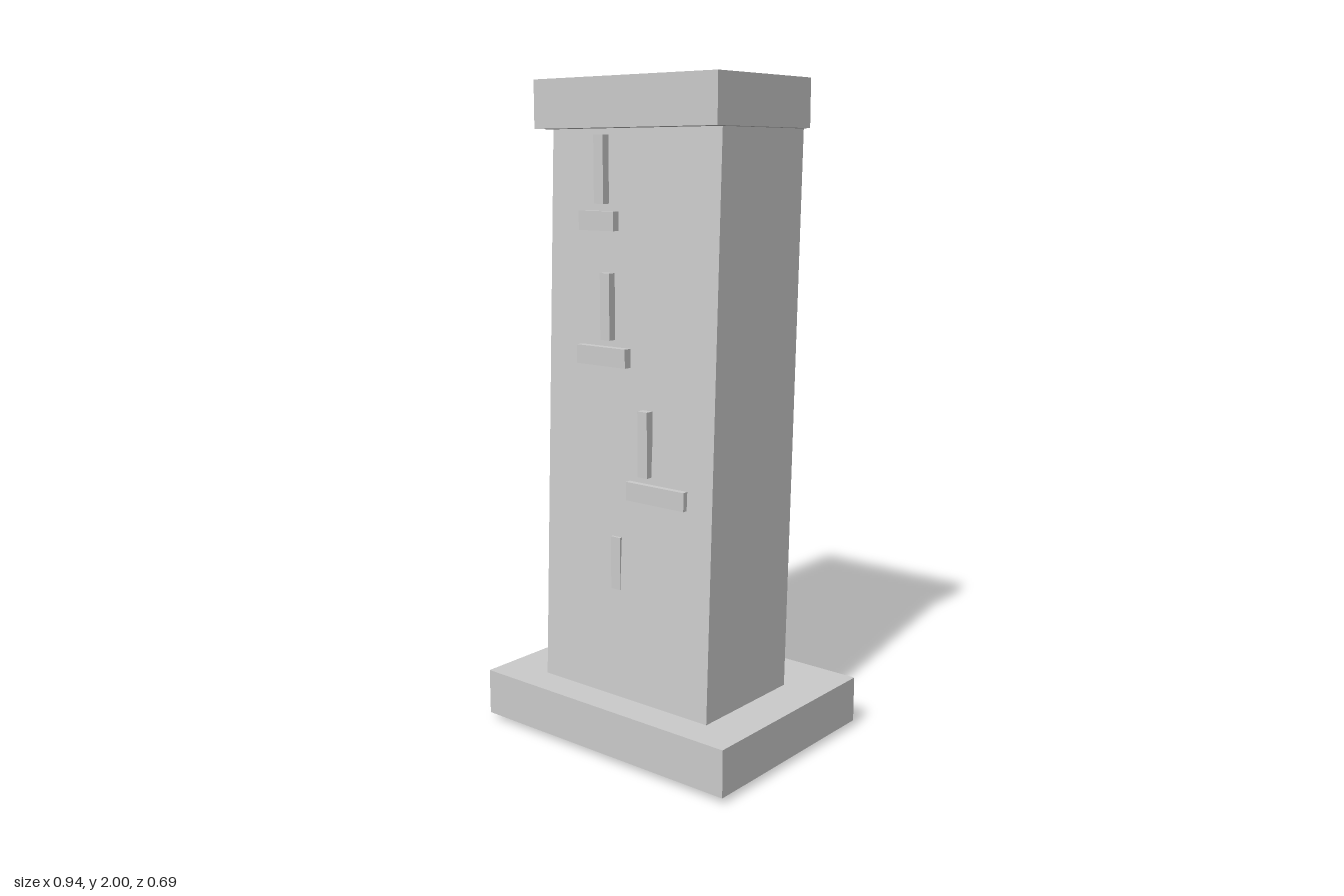
import * as THREE from 'three';

const material = new THREE.MeshStandardMaterial({ color: 0xcccccc, flatShading: true });

function box(name, size, position) {
  const mesh = new THREE.Mesh(new THREE.BoxGeometry(...size), material);
  mesh.name = name;
  mesh.position.set(...position);
  return mesh;
}

export function createModel() {
  const pillar = new THREE.Group();
  pillar.name = 'leaningPillar';

  // Level slabs at the foot and the head
  pillar.add(box('base', [0.935, 0.143, 0.686], [0, 0.0915, 0]));
  pillar.add(box('capital', [0.686, 0.143, 0.442], [0, 1.9285, 0]));

  // Shaft leans back and slightly to one side, poking through the slabs
  const shaft = box('shaft', [0.64, 1.89, 0.393], [-0.002, 0.96, 0]);
  shaft.rotation.set(-0.054, 0, 0.0147);
  pillar.add(shaft);

  // Carved marks: an upright stroke above a wider bar, sinking into the shaft lower down
  const marks = [
    { y: 1.74, x: -0.087, barX: -0.099, barWidth: 0.134 },
    { y: 1.345, x: -0.067, barX: -0.085, barWidth: 0.19 },
    { y: 0.952, x: 0.075, barX: 0.12, barWidth: 0.218 },
    { y: 0.558, x: -0.032, barX: -0.032, barWidth: 0.2 },
  ];
  for (const { y, x, barX, barWidth } of marks) {
    const mark = new THREE.Group();
    mark.name = 'mark';
    mark.add(box('stroke', [0.036, 0.196, 0.025], [x, y, 0.2095]));
    mark.add(box('bar', [barWidth, 0.056, 0.025], [barX, y - 0.147, 0.2095]));
    pillar.add(mark);
  }
  return pillar;
}
